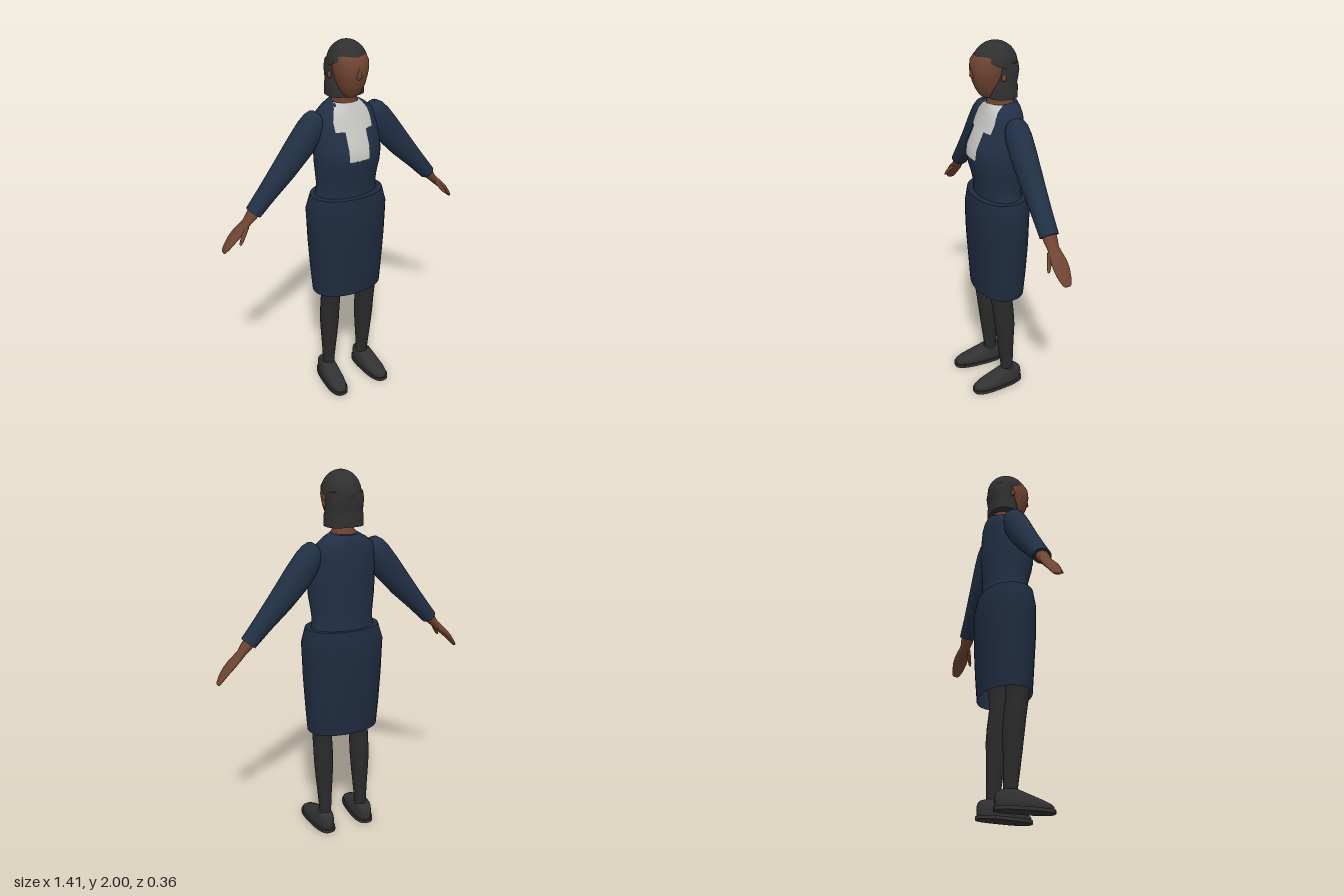
import * as THREE from 'three';

const CX = -0.013; // body axis

const mat = (name, color, extra = {}) => new THREE.MeshStandardMaterial({ name, color, ...extra });

// Point of a rounded section [y, centreX, halfWidth, zFront, zBack]; p > 2 squares it off
function ringPoint([y, cx, hw, zf, zb], a, p) {
  const f = v => Math.sign(v) * Math.abs(v) ** (2 / p);
  return [cx + hw * f(Math.cos(a)), y, (zf + zb) / 2 + (zf - zb) / 2 * f(Math.sin(a))];
}

// Skin stretched over stacked sections, with optional flat ends
function loft(name, material, sections, { p = 2, n = 32, bottom = true, top = true } = {}) {
  const secs = [...sections].sort((a, b) => a[0] - b[0]);
  const pos = [], index = [];
  const ring = s => {
    const start = pos.length / 3;
    for (let i = 0; i < n; i++) pos.push(...ringPoint(s, i / n * Math.PI * 2, p));
    return start;
  };
  const starts = secs.map(ring);
  for (let k = 0; k + 1 < starts.length; k++) for (let i = 0; i < n; i++) {
    const j = (i + 1) % n, a = starts[k], b = starts[k + 1];
    index.push(a + i, b + i, a + j, a + j, b + i, b + j);
  }
  const cap = (s, up) => {
    const start = ring(s), c = pos.length / 3;
    pos.push(s[1], s[0], (s[3] + s[4]) / 2);
    for (let i = 0; i < n; i++) {
      const j = (i + 1) % n;
      index.push(c, start + (up ? j : i), start + (up ? i : j));
    }
  };
  if (bottom) cap(secs[0], false);
  if (top) cap(secs.at(-1), true);
  return toMesh(name, material, pos, index);
}

function toMesh(name, material, pos, index) {
  const g = new THREE.BufferGeometry();
  g.setAttribute('position', new THREE.Float32BufferAttribute(pos, 3));
  g.setIndex(index);
  g.computeVertexNormals();
  const m = new THREE.Mesh(g, material);
  m.name = name;
  return m;
}

const TORSO = [
  [1.17, CX, 0.178, 0.085, -0.145], [1.20, CX, 0.175, 0.085, -0.143], [1.24, CX, 0.168, 0.088, -0.14],
  [1.30, CX, 0.174, 0.10, -0.143], [1.36, CX, 0.182, 0.117, -0.147], [1.42, CX, 0.185, 0.125, -0.15],
  [1.47, CX, 0.183, 0.118, -0.152], [1.53, CX, 0.178, 0.09, -0.152], [1.59, CX, 0.17, 0.065, -0.15],
  [1.635, CX, 0.155, 0.047, -0.147], [1.665, CX, 0.118, 0.036, -0.142], [1.69, CX, 0.072, 0.025, -0.132],
];

// Linear lookup of a section at height y
function sectionAt(secs, y) {
  const k = Math.max(0, Math.min(secs.length - 2, secs.findIndex(s => s[0] >= y) - 1));
  const t = (y - secs[k][0]) / (secs[k + 1][0] - secs[k][0]);
  return secs[k].map((v, i) => v + (secs[k + 1][i] - v) * t);
}

// Thin panel lying on the torso front; rows are [y, halfWidth] from the bottom up
function chestPanel(name, material, rows, n = 16) {
  const pos = [], index = [];
  rows.forEach(([y, w], r) => {
    const [, cx, hw, zf, zb] = sectionAt(TORSO, y);
    for (let i = 0; i <= n; i++) {
      const x = (i / n * 2 - 1) * Math.min(w, hw * 0.99);
      pos.push(cx + x * 1.01, y, (zf + zb) / 2 + (zf - zb) / 2 * Math.sqrt(1 - (x / hw) ** 2) + 0.005);
      if (r && i < n) {
        const b = r * (n + 1) + i, a = b - n - 1;
        index.push(a, a + 1, b, a + 1, b + 1, b);
      }
    }
  });
  return toMesh(name, material, pos, index);
}

export function createModel() {
  const root = new THREE.Group();
  root.name = 'woman';
  const navy = mat('navy cloth', 0x213045, { side: THREE.DoubleSide });
  const skirtNavy = mat('skirt navy', 0x1e2b3f, { side: THREE.DoubleSide });
  const skin = mat('skin', 0x6f4431);
  const hair = mat('hair', 0x303030, { side: THREE.DoubleSide });
  const tights = mat('tights', 0x2a2a2a);
  const leather = mat('shoe leather', 0x323232);
  const white = mat('white blouse', 0xc6c6c1, { side: THREE.DoubleSide });

  // Jacket body and blouse front
  root.add(loft('jacket', navy, TORSO));
  root.add(chestPanel('blouseFrill', white, [[1.41, 0.058], [1.42, 0.058], [1.47, 0.058], [1.53, 0.058], [1.56, 0.058]]));
  root.add(chestPanel('blouseCollar', white,
    [[1.56, 0.105], [1.59, 0.106], [1.61, 0.106], [1.635, 0.1], [1.665, 0.088], [1.69, 0.069]]));

  // Skirt, open at the hem
  root.add(loft('skirt', skirtNavy, [
    [0.61, CX, 0.2, 0.103, -0.157], [0.75, CX, 0.211, 0.112, -0.168], [0.92, CX, 0.221, 0.123, -0.178],
    [1.04, CX, 0.225, 0.126, -0.18], [1.11, CX, 0.228, 0.125, -0.18], [1.15, CX, 0.216, 0.12, -0.172],
    [1.195, CX, 0.203, 0.115, -0.163],
  ], { bottom: false, p: 2.15 }));

  // Head: neck, face, nose, ears
  root.add(loft('neck', skin, [
    [1.65, CX, 0.068, 0.028, -0.115], [1.695, CX, 0.066, 0.026, -0.113], [1.705, CX, 0.056, 0.024, -0.098],
    [1.78, CX, 0.054, 0.03, -0.09],
  ]));
  root.add(loft('face', skin, [
    [1.725, CX, 0.03, 0.055, -0.02], [1.74, CX, 0.048, 0.07, -0.04], [1.77, CX, 0.063, 0.088, -0.06],
    [1.80, CX, 0.074, 0.101, -0.07], [1.84, CX, 0.084, 0.11, -0.08], [1.87, CX, 0.088, 0.115, -0.08],
    [1.91, CX, 0.088, 0.111, -0.08], [1.935, CX, 0.082, 0.092, -0.08], [1.96, CX, 0.066, 0.06, -0.07],
  ], { p: 2.2 }));
  root.add(loft('nose', skin, [
    [1.826, CX, 0.008, 0.108, 0.09], [1.838, CX, 0.015, 0.123, 0.09], [1.86, CX, 0.011, 0.12, 0.09],
    [1.89, CX, 0.007, 0.114, 0.09],
  ], { n: 12 }));
  for (const s of [1, -1]) {
    const ear = new THREE.Mesh(new THREE.SphereGeometry(1, 12, 10), skin);
    ear.name = 'ear';
    ear.scale.set(0.009, 0.018, 0.013);
    ear.position.set(CX + s * 0.097, 1.837, -0.017);
    root.add(ear);
  }

  // Hair: tilted cap over a squared bob
  const capGeo = new THREE.SphereGeometry(1, 32, 16, 0, Math.PI * 2, 0, Math.PI / 2).rotateX(-0.4);
  capGeo.scale(0.1, 0.115, 0.117);
  const cap = new THREE.Mesh(capGeo, hair);
  cap.name = 'hairCap';
  cap.position.set(CX, 1.885, -0.013);
  root.add(cap);
  root.add(loft('hairBob', hair, [
    [1.725, CX, 0.101, 0.036, -0.12], [1.78, CX, 0.1, 0.034, -0.121], [1.795, CX, 0.096, 0.03, -0.117],
    [1.82, CX, 0.096, 0.024, -0.122], [1.86, CX, 0.097, 0.02, -0.128], [1.90, CX, 0.092, 0.02, -0.122],
  ], { p: 2.6 }));

  for (const s of [1, -1]) {
    const side = s > 0 ? 'left' : 'right';

    // Arm, built hanging down and swung outward; rows are [distance, offset, halfThickness, zFront, zBack]
    const arm = new THREE.Group();
    arm.name = side + 'Arm';
    arm.position.set(-0.01 + s * 0.2, 1.57, -0.045);
    arm.rotation.z = s * 0.69;
    const along = rows => rows.map(([t, o, h, f, b]) => [-t, o * s, h, f, b]);
    arm.add(loft('sleeve', navy, along([
      [-0.082, 0.012, 0.02, 0.025, -0.025], [-0.07, 0.008, 0.04, 0.045, -0.045], [-0.04, 0, 0.061, 0.059, -0.06],
      [0.01, -0.006, 0.073, 0.065, -0.067], [0.1, -0.012, 0.077, 0.064, -0.067], [0.25, -0.01, 0.066, 0.056, -0.06],
      [0.4, -0.002, 0.05, 0.051, -0.053], [0.515, 0.003, 0.041, 0.048, -0.05],
    ])));
    arm.add(loft('hand', skin, along([
      [0.49, 0.003, 0.03, 0.036, -0.038], [0.54, 0.003, 0.027, 0.035, -0.037], [0.575, 0.004, 0.021, 0.028, -0.032],
      [0.61, 0.008, 0.02, 0.034, -0.04], [0.65, 0.014, 0.019, 0.038, -0.048], [0.69, 0.018, 0.016, 0.036, -0.048],
      [0.735, 0.018, 0.012, 0.026, -0.042], [0.765, 0.016, 0.008, 0.012, -0.034], [0.773, 0.015, 0.004, 0.002, -0.025],
    ]), { n: 20 }));
    arm.add(loft('thumb', skin, along([
      [0.59, 0.002, 0.012, 0.034, 0.005], [0.63, 0, 0.012, 0.048, 0.022], [0.665, -0.003, 0.01, 0.058, 0.038],
      [0.685, -0.004, 0.005, 0.06, 0.048],
    ]), { n: 12 }));
    root.add(arm);

    // Leg
    const lx = CX + s * 0.112;
    root.add(loft(side + 'Leg', tights, [
      [0.06, lx, 0.034, 0.0, -0.078], [0.12, lx, 0.034, -0.003, -0.076], [0.2, lx, 0.039, 0.008, -0.076],
      [0.3, lx, 0.047, 0.021, -0.078], [0.4, lx, 0.053, 0.033, -0.081], [0.48, lx, 0.053, 0.043, -0.076],
      [0.6, lx, 0.053, 0.06, -0.062], [0.75, lx, 0.065, 0.075, -0.08], [1.0, lx, 0.08, 0.085, -0.11],
    ], { n: 24 }));

    // Shoe with a thin sole, toes turned slightly out
    const shoe = new THREE.Group();
    shoe.name = side + 'Shoe';
    shoe.position.x = CX + s * 0.125;
    shoe.rotation.y = s * 0.07;
    shoe.add(loft('sole', leather, [[0, 0, 0.057, 0.184, -0.128], [0.018, 0, 0.057, 0.184, -0.128]], { p: 2.8 }));
    shoe.add(loft('upper', leather, [
      [0.018, 0, 0.05, 0.176, -0.12], [0.032, 0, 0.053, 0.178, -0.123], [0.046, 0, 0.052, 0.16, -0.124],
      [0.065, 0, 0.048, 0.11, -0.123], [0.083, 0, 0.044, 0.055, -0.118], [0.096, 0, 0.04, 0.015, -0.106],
      [0.102, 0, 0.035, -0.002, -0.085],
    ], { p: 2.5 }));
    root.add(shoe);
  }
  return root;
}
